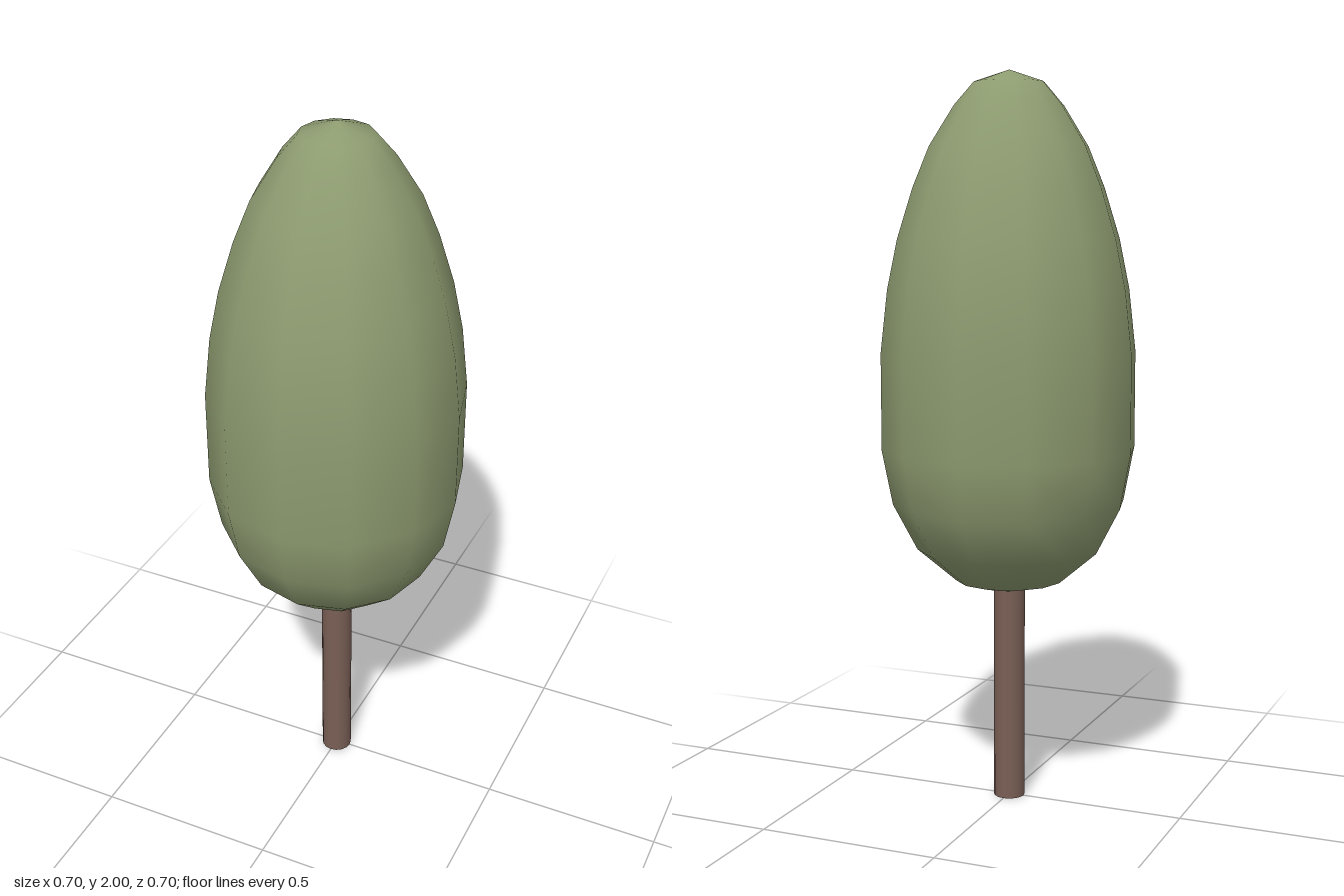
import * as THREE from 'three';

export function createModel() {
  const tree = new THREE.Group();
  tree.name = 'tree';

  // Egg-shaped crown: [radius, height] from bottom to top
  const profile = [
    [0, 0.59], [0.04, 0.593], [0.148, 0.62], [0.254, 0.71], [0.32, 0.836],
    [0.349, 0.985], [0.349, 1.25], [0.33, 1.42], [0.302, 1.555], [0.26, 1.69],
    [0.215, 1.8], [0.148, 1.907], [0.095, 1.968], [0, 2],
  ].map(([r, y]) => new THREE.Vector2(r, y));
  const crown = new THREE.Mesh(
    new THREE.LatheGeometry(profile, 12),
    new THREE.MeshStandardMaterial({ color: 0x8d9b70 })
  );
  crown.name = 'crown';
  tree.add(crown);

  // Straight round trunk, reaching a little way into the crown
  const trunkHeight = 0.64;
  const trunk = new THREE.Mesh(
    new THREE.CylinderGeometry(0.043, 0.043, trunkHeight, 16),
    new THREE.MeshStandardMaterial({ color: 0x795f55 })
  );
  trunk.name = 'trunk';
  trunk.position.y = trunkHeight / 2;
  tree.add(trunk);

  return tree;
}
